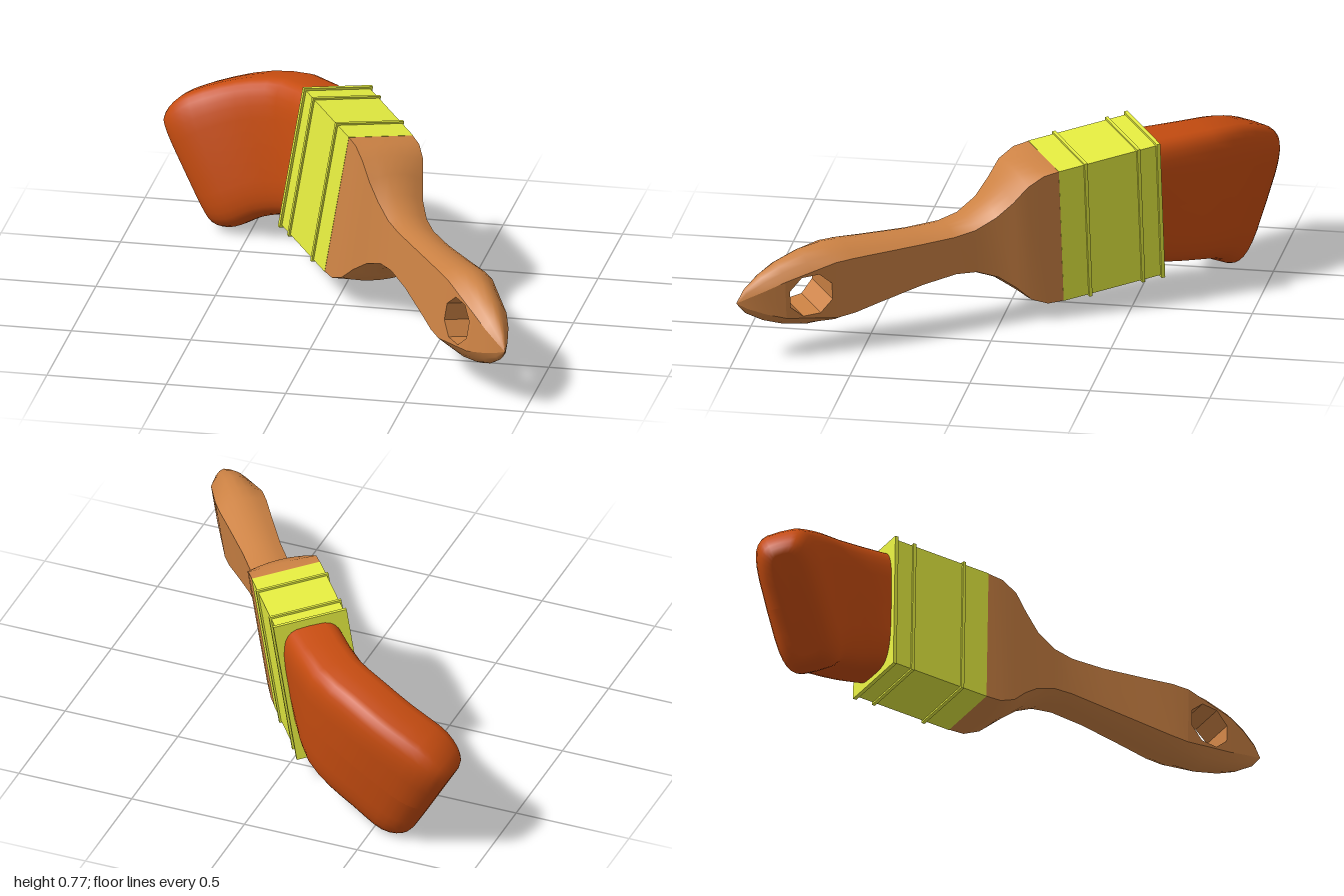
import * as THREE from 'three';

const V = (x, y, z) => new THREE.Vector3(x, y, z);
const lerp = THREE.MathUtils.lerp;

// Smooth surface through rows of points
function grid(rows) {
  const n = rows[0].length, idx = [];
  for (let i = 0; i < rows.length - 1; i++)
    for (let j = 0; j < n - 1; j++) {
      const a = i * n + j, b = a + n;
      idx.push(a, b, a + 1, b, b + 1, a + 1);
    }
  const g = new THREE.BufferGeometry().setFromPoints(rows.flat());
  g.setIndex(idx);
  g.computeVertexNormals();
  return g;
}

// Handle stations: distance, half thickness, half height at edge, half height at crown
const STATIONS = [
  [0, .145, .305, .305], [.07, .144, .3, .305], [.14, .138, .265, .283],
  [.2, .122, .2, .23], [.27, .102, .14, .168], [.36, .088, .098, .122],
  [.45, .081, .087, .106], [.6, .081, .095, .117], [.8, .092, .115, .142],
  [.92, .1, .128, .162], [1, .1, .13, .172], [1.11, .0875, .1075, .17],
  [1.22, .075, .085, .14], [1.3, .054, .055, .105], [1.37, .025, .024, .056], [1.41, 0, 0, 0],
];
const HOLE_FROM = 10, HOLE_TO = 12;

function thickness(a) {
  const i = Math.max(1, STATIONS.findIndex(s => s[0] >= a - 1e-6));
  const p = STATIONS[i - 1], q = STATIONS[i];
  return lerp(p[1], q[1], (a - p[0]) / (q[0] - p[0]));
}

function buildHandle(mat) {
  const handle = new THREE.Group();
  handle.name = 'handle';
  const add = (geo, name) => {
    const m = new THREE.Mesh(geo, mat);
    m.name = name;
    handle.add(m);
  };
  for (const s of [1, -1]) {
    // crowned upper and lower surfaces
    add(grid(STATIONS.map(([a, t, e, c]) => {
      const row = [];
      for (let k = -3; k <= 3; k++) {
        const u = k / 3;
        row.push(V(s * u * t, s * (e + (c - e) * (1 - u * u)), a));
      }
      return row;
    })), s > 0 ? 'handleTop' : 'handleBottom');
    // flat cheeks before and after the hole
    for (const part of [STATIONS.slice(0, HOLE_FROM + 1), STATIONS.slice(HOLE_TO)])
      add(grid(part.map(([a, t, e]) => [V(s * t, s * e, a), V(s * t, -s * e, a)])), 'handleCheek');
  }
  // panel with the octagonal hanging hole
  const [a0, , e0] = STATIONS[HOLE_FROM], [a1, , e1] = STATIONS[HOLE_TO];
  const shape = new THREE.Shape([[a0, -e0], [a1, -e1], [a1, e1], [a0, e0]].map(p => new THREE.Vector2(...p)));
  const hole = [];
  for (let i = 0; i < 8; i++) {
    const f = (i + .5) * Math.PI / 4;
    hole.push(new THREE.Vector2(1.11 + .098 * Math.cos(f), .098 * Math.sin(f)));
  }
  shape.holes.push(new THREE.Path(hole));
  const panel = new THREE.ExtrudeGeometry(shape, { depth: 2, bevelEnabled: false });
  const pos = panel.attributes.position;
  for (let i = 0; i < pos.count; i++) {
    const a = pos.getX(i);
    pos.setXYZ(i, -(pos.getZ(i) - 1) * thickness(a), pos.getY(i), a);
  }
  panel.computeVertexNormals();
  add(panel, 'hangingHole');
  return handle;
}

function buildFerrule(mat) {
  const ferrule = new THREE.Group();
  ferrule.name = 'ferrule';
  const box = (w, h, d, z, name) => {
    const m = new THREE.Mesh(new THREE.BoxGeometry(w, h, d), mat);
    m.position.z = z;
    m.name = name;
    ferrule.add(m);
  };
  box(.292, .612, .455, -.2275, 'ferruleBody');
  for (const z of [-.12, -.36]) box(.308, .628, .014, z, 'ferruleRidge');
  box(.312, .632, .016, -.449, 'ferruleRim');
  return ferrule;
}

// Bristles: a curved slab lofted between its upper and lower edge
function buildBristles(mat) {
  const top = new THREE.CatmullRomCurve3([
    V(-.09, .715, -.52), V(-.3, .7, -.73), V(-.465, .665, -.81),
    V(-.62, .61, -.86), V(-.78, .54, -.88), V(-.915, .455, -.885)]);
  const bottom = new THREE.CatmullRomCurve3([
    V(-.19, .15, -.52), V(-.24, .135, -.62), V(-.33, .11, -.69),
    V(-.43, .075, -.725), V(-.53, .02, -.745), V(-.635, -.03, -.75)]);
  const mid = u => top.getPoint(u).add(bottom.getPoint(u)).multiplyScalar(.5);
  const us = [0, .1, .2, .3, .4, .5, .6, .7, .78, .84, .89, .93, .96, .985, 1];
  const rows = us.map(u => {
    const c = mid(u);
    const h = top.getPoint(u).sub(bottom.getPoint(u)).multiplyScalar(.5);
    const d = mid(Math.min(1, u + .01)).sub(mid(Math.max(0, u - .01)));
    const n = d.cross(h).normalize();
    const k = Math.max(0, (u - .78) / .22);
    const inset = .075 * (1 - Math.sqrt(1 - k * k));
    const half = .135 - inset;
    const hs = 1 - inset / h.length();
    const row = [];
    for (let j = 0; j <= 32; j++) {
      const f = j / 32 * Math.PI * 2, x = Math.cos(f), y = Math.sin(f);
      const sq = v => Math.sign(v) * Math.sqrt(Math.abs(v));
      row.push(c.clone().addScaledVector(n, half * sq(x)).addScaledVector(h, hs * sq(y)));
    }
    return row;
  });
  // close the rounded end
  rows.push(rows[0].map(() => mid(1)));
  const m = new THREE.Mesh(grid(rows), mat);
  m.name = 'bristles';
  return m;
}

export function createModel() {
  const material = color => new THREE.MeshStandardMaterial({ color });
  const model = new THREE.Group();
  model.name = 'paintbrush';

  // rigid half: thickness, width and length axes tilted into place
  const length = V(.571, -.099, .813).normalize();
  const width = V(.164, .986, 0);
  const thick = width.clone().cross(length).normalize();
  width.crossVectors(length, thick);
  const body = new THREE.Group();
  body.name = 'handleAndFerrule';
  body.quaternion.setFromRotationMatrix(new THREE.Matrix4().makeBasis(thick, width, length));
  body.position.set(.11, .39, -.16);
  body.add(buildHandle(material(0xcc8244)), buildFerrule(material(0xe4ec40)));

  model.add(body, buildBristles(material(0xc64c10)));
  return model;
}
